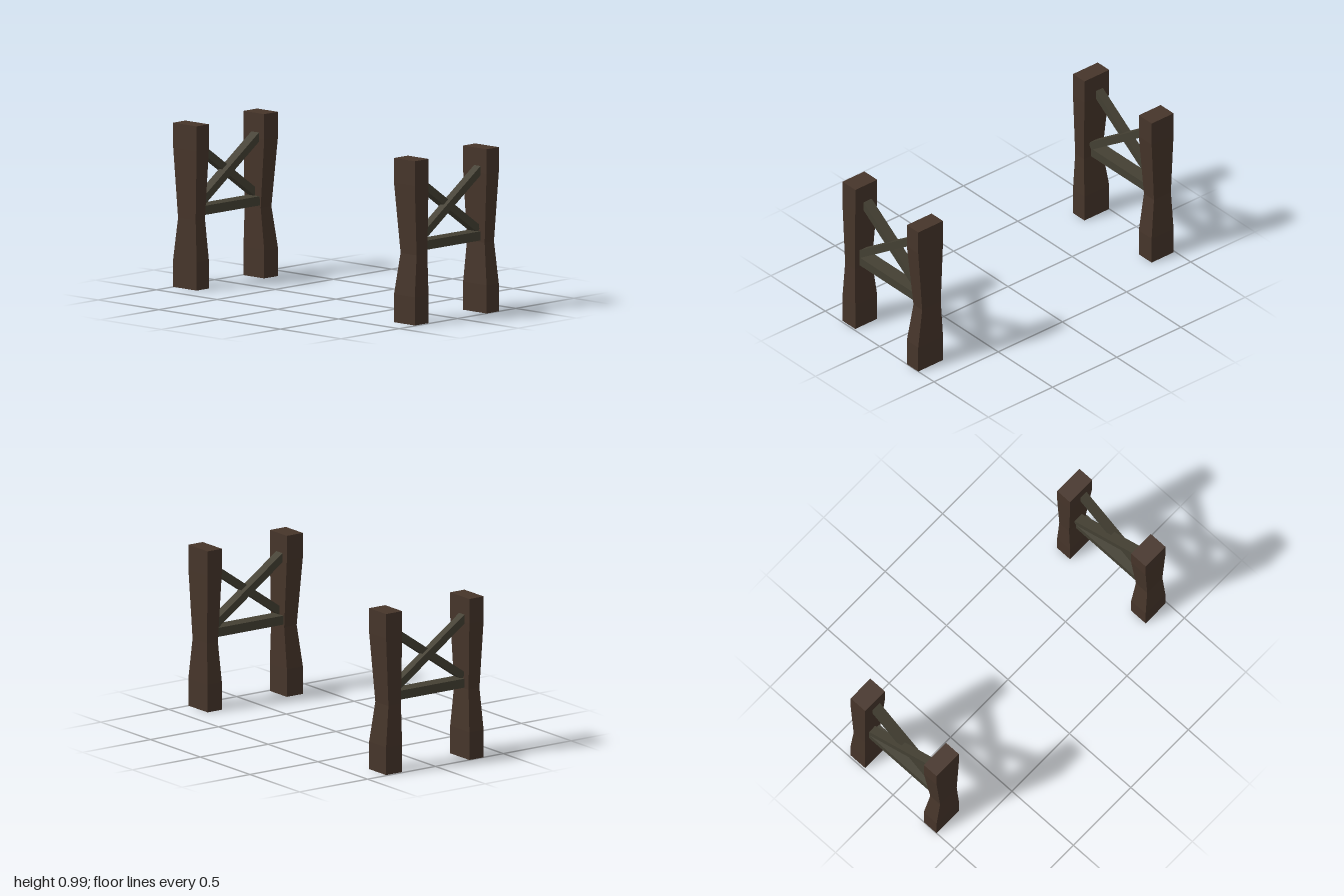
import * as THREE from 'three';

const postMaterial = new THREE.MeshStandardMaterial({ color: 0x46352a, flatShading: true, side: THREE.DoubleSide });
const beamMaterial = new THREE.MeshStandardMaterial({ color: 0x444033, flatShading: true });

// Square post with a pinched waist, open underneath.
// full and waist are [x0, x1, z0, z1] outlines.
function makePost(name, full, waist) {
  const levels = [[0, full], [0.17, full], [0.42, waist], [0.84, full], [0.99, full]];
  const rings = levels.map(([y, [x0, x1, z0, z1]]) => [
    [x0, y, z1], [x1, y, z1], [x1, y, z0], [x0, y, z0],
  ]);
  const positions = [];
  const quad = (a, b, c, d) => positions.push(...a, ...b, ...c, ...a, ...c, ...d);
  for (let i = 0; i < rings.length - 1; i++) {
    for (let k = 0; k < 4; k++) {
      const n = (k + 1) % 4;
      quad(rings[i][k], rings[i][n], rings[i + 1][n], rings[i + 1][k]);
    }
  }
  quad(...rings[rings.length - 1]);
  const geometry = new THREE.BufferGeometry();
  geometry.setAttribute('position', new THREE.Float32BufferAttribute(positions, 3));
  geometry.computeVertexNormals();
  const post = new THREE.Mesh(geometry, postMaterial);
  post.name = name;
  return post;
}

// Straight timber running along z, tilted about x
function makeBeam(name, width, height, length, x, y, tilt = 0) {
  const beam = new THREE.Mesh(new THREE.BoxGeometry(width, height, length), beamMaterial);
  beam.name = name;
  beam.position.set(x, y, 0);
  beam.rotation.x = tilt;
  return beam;
}

// Two posts joined by a rail and a crossed pair of braces
function makeFrame(name) {
  const frame = new THREE.Group();
  frame.name = name;
  const tilt = Math.atan2(0.333, 0.48);
  const braceLength = 0.53 / Math.cos(tilt);
  frame.add(
    makePost('narrowPost', [0.818, 0.989, 0.237, 0.355], [0.853, 0.985, 0.243, 0.335]),
    makePost('widePost', [0.807, 1.0, -0.355, -0.25], [0.82, 0.965, -0.35, -0.27]),
    makeBeam('rail', 0.09, 0.055, 0.5, 0.905, 0.462),
    makeBeam('outerBrace', 0.053, 0.046, braceLength, 0.924, 0.682, tilt),
    makeBeam('innerBrace', 0.063, 0.046, braceLength, 0.893, 0.682, -tilt),
  );
  return frame;
}

export function createModel() {
  const model = new THREE.Group();
  model.name = 'timberSupports';
  const left = makeFrame('leftFrame');
  const right = makeFrame('rightFrame');
  right.rotation.y = Math.PI; // same frame turned to face the other way
  model.add(left, right);
  return model;
}
